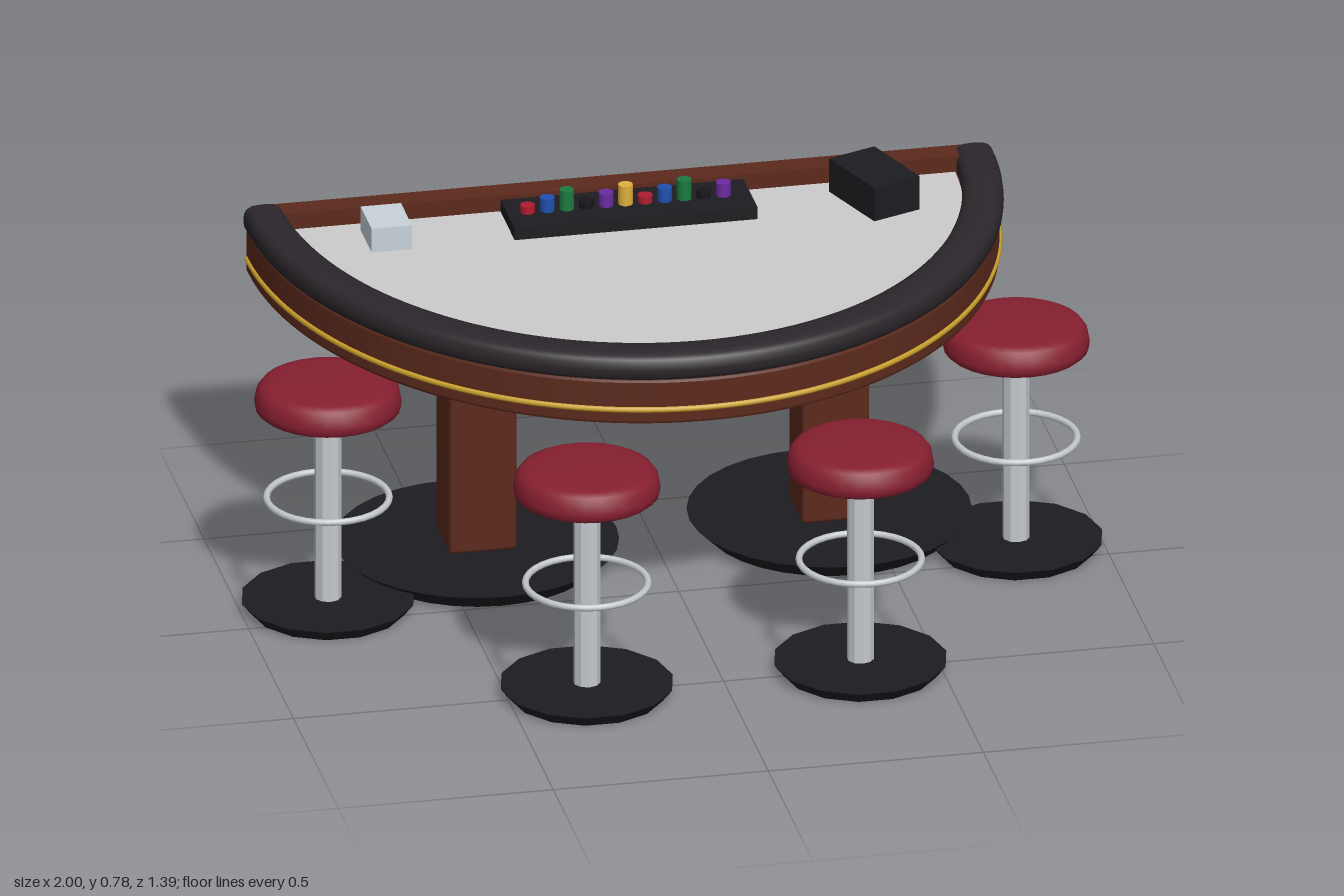
import * as THREE from 'three';
import { RoundedBoxGeometry } from 'three/addons/geometries/RoundedBoxGeometry.js';
import { ParametricGeometry } from 'three/addons/geometries/ParametricGeometry.js';

const BACK = -0.68; // straight back edge, also the centre of every table ellipse

const paint = (color, extra = {}) => {
  const m = new THREE.MeshStandardMaterial({ color, ...extra });
  return m;
};
const wood = paint(0x5c2a1c);
const leather = paint(0x2b262b, { side: THREE.DoubleSide });
const black = paint(0x1d1d21);
const blackFlat = paint(0x1d1d21, { flatShading: true });
const chrome = paint(0xc4c8cc);
const chromeFlat = paint(0xc4c8cc, { flatShading: true });
const gold = paint(0xc9a02c);
const red = paint(0x861f30);
const felt = paint(0xcccccc);
const clear = paint(0xc8d2da);

function add(parent, name, geometry, material, x = 0, y = 0, z = 0) {
  const mesh = new THREE.Mesh(geometry, material);
  mesh.name = name;
  mesh.position.set(x, y, z);
  parent.add(mesh);
  return mesh;
}

// Half-ellipse slab lying flat, its straight edge at z = back
function slab(rx, rz, back, height, bevel) {
  const shape = new THREE.Shape();
  shape.absellipse(0, -back, rx - bevel, rz - bevel, Math.PI, Math.PI * 2);
  shape.closePath();
  const g = new THREE.ExtrudeGeometry(shape, {
    depth: height - 2 * bevel, curveSegments: 48,
    bevelEnabled: bevel > 0, bevelSize: bevel, bevelThickness: bevel, bevelSegments: 2,
  });
  return g.rotateX(-Math.PI / 2).translate(0, bevel, 0);
}

// Rounded section of the padded rail
function railSection(a, halfWidth) {
  const soft = (t) => Math.sign(t) * Math.pow(Math.abs(t), 0.7);
  return new THREE.Vector2(soft(Math.cos(a)) * halfWidth, soft(Math.sin(a)) * 0.035);
}

function buildRail() {
  const rail = new THREE.Group();
  rail.name = 'armRail';
  const sweep = new ParametricGeometry((u, v, out) => {
    const t = u * Math.PI;
    const s = railSection(-v * Math.PI * 2, 0.046 + 0.007 * Math.sin(t));
    out.set(Math.cos(t) * (0.825 + s.x), s.y, Math.sin(t) * (0.955 + s.x));
  }, 64, 20);
  add(rail, 'railPadding', sweep, leather, 0, 0.706, BACK);
  const outline = Array.from({ length: 20 }, (_, i) => railSection(i / 20 * Math.PI * 2, 0.046));
  const cap = new THREE.ShapeGeometry(new THREE.Shape(outline)).rotateY(Math.PI);
  for (const side of [-1, 1]) add(rail, 'railEnd', cap, leather, side * 0.825, 0.706, BACK);
  return rail;
}

function buildTable() {
  const table = new THREE.Group();
  table.name = 'table';
  add(table, 'apron', slab(0.862, 1.0, BACK + 0.003, 0.112, 0.008), wood, 0, 0.57, 0);
  add(table, 'playingSurface', slab(0.775, 0.845, -0.64, 0.012, 0), felt, 0, 0.68, 0);
  add(table, 'backBoard', new THREE.BoxGeometry(1.7, 0.052, 0.06), wood, 0, 0.705, -0.667);
  table.add(buildRail());

  // Metal trim along the curved apron
  const trimPoints = Array.from({ length: 41 }, (_, i) => {
    const t = i / 40 * Math.PI;
    return new THREE.Vector3(Math.cos(t) * 0.862, 0.607, BACK + Math.sin(t) * 1.003);
  });
  add(table, 'trim', new THREE.TubeGeometry(new THREE.CatmullRomCurve3(trimPoints), 80, 0.007, 8), gold);

  // Pedestals
  for (const side of [-1, 1]) {
    add(table, 'pedestalBase', new THREE.CylinderGeometry(0.325, 0.285, 0.04, 32), black, side * 0.41, 0.02, -0.29);
    add(table, 'pedestalLeg', new RoundedBoxGeometry(0.157, 0.54, 0.157, 2, 0.01), wood, side * 0.41, 0.31, -0.29);
  }
  return table;
}

function buildTableware() {
  const ware = new THREE.Group();
  ware.name = 'tableware';
  add(ware, 'chipTray', new THREE.BoxGeometry(0.565, 0.03, 0.16), black, 0, 0.706, -0.556);

  // Chip stacks in repeating colours and three heights
  const colors = [0xb01c30, 0x2050b0, 0x1c7a40, 0x18181c, 0x6a2ca0, 0xe0b040].map((c) => paint(c));
  for (let i = 0; i < 11; i++) {
    const top = 0.739 + (i % 3) * 0.015;
    const h = top - 0.7;
    add(ware, 'chipStack', new THREE.CylinderGeometry(0.017, 0.017, h, 14),
      colors[i % 6], -0.235 + i * 0.0455, 0.7 + h / 2, -0.56);
  }

  const shoe = add(ware, 'cardShoe', new THREE.BoxGeometry(0.122, 0.085, 0.192), black, 0.563, 0.733, -0.521);
  shoe.rotation.y = 0.36;
  add(ware, 'discardHolder', new THREE.BoxGeometry(0.094, 0.06, 0.125), clear, -0.568, 0.721, -0.539);
  return ware;
}

function buildStool(x, z) {
  const stool = new THREE.Group();
  stool.name = 'stool';
  stool.position.set(x, 0, z);
  const base = add(stool, 'stoolBase', new THREE.CylinderGeometry(0.2, 0.178, 0.028, 14), blackFlat, 0, 0.014, 0);
  base.rotation.y = Math.PI / 14;
  add(stool, 'stoolColumn', new THREE.CylinderGeometry(0.031, 0.031, 0.48, 10), chromeFlat, 0, 0.265, 0);
  add(stool, 'footRing', new THREE.TorusGeometry(0.14, 0.008, 8, 32).rotateX(Math.PI / 2), chrome, 0, 0.277, 0);

  // Padded seat with a flat underside
  const under = new THREE.CircleGeometry(0.158, 28).rotateX(Math.PI / 2);
  add(stool, 'seatUnderside', under, red, 0, 0.498, 0);
  const profile = [[0.158, 0.498], [0.166, 0.505], [0.168, 0.52], [0.164, 0.543],
    [0.154, 0.557], [0.138, 0.565], [0.11, 0.567], [0, 0.567]];
  add(stool, 'seat', new THREE.LatheGeometry(profile.map((p) => new THREE.Vector2(...p)), 28), red);
  return stool;
}

export function createModel() {
  const model = new THREE.Group();
  model.name = 'gamingTable';
  model.add(buildTable(), buildTableware());
  for (const side of [-1, 1]) {
    model.add(buildStool(side * 0.8, -0.076), buildStool(side * 0.318, 0.5));
  }
  return model;
}
